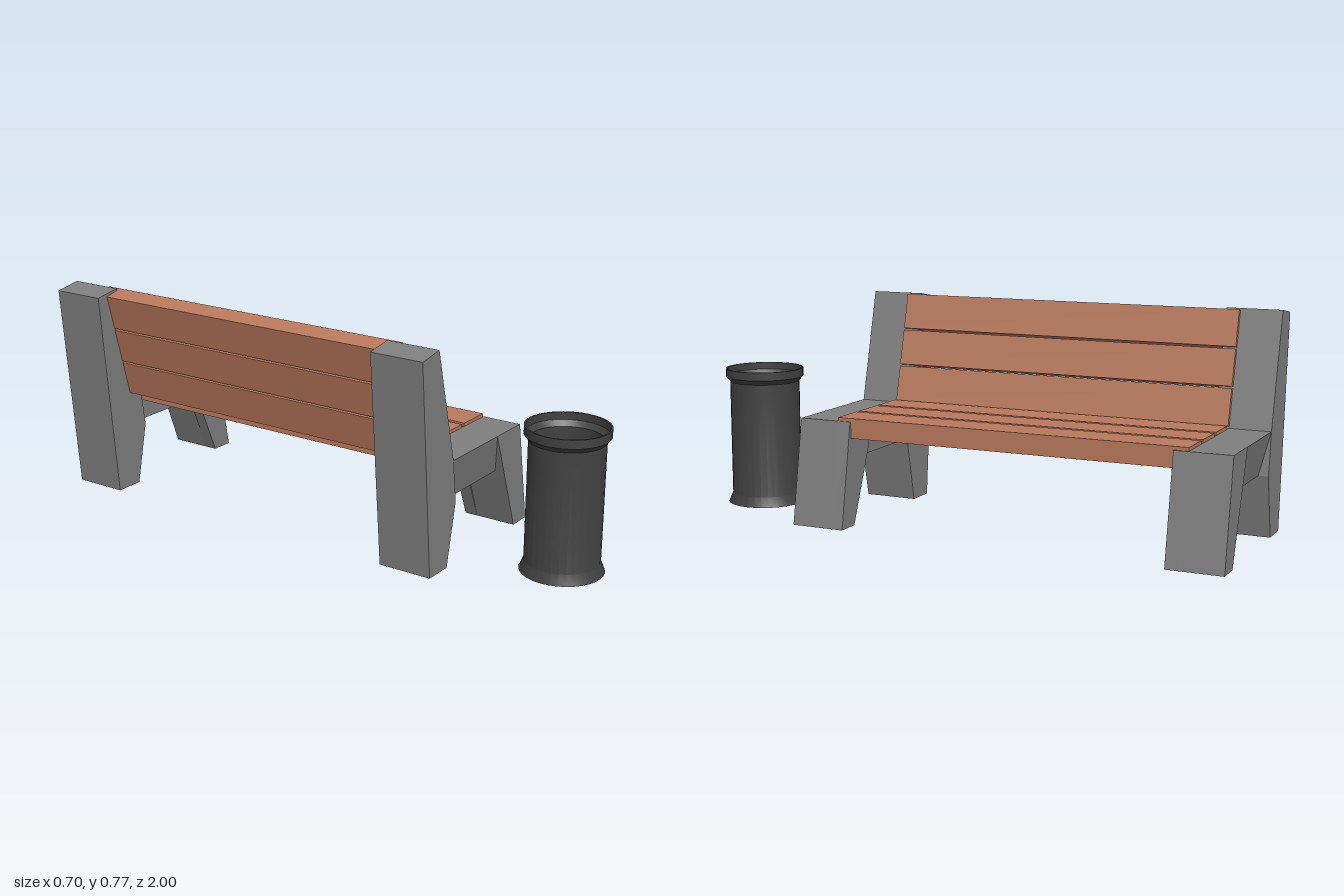
import * as THREE from 'three';
import { toCreasedNormals } from 'three/addons/utils/BufferGeometryUtils.js';

const material = (name, color) => new THREE.MeshStandardMaterial({ name, color });

// Extrude a polygon along z from z0 to z1
function prism(points, z0, z1) {
  const shape = new THREE.Shape(points.map(([x, y]) => new THREE.Vector2(x, y)));
  const geometry = new THREE.ExtrudeGeometry(shape, { depth: Math.abs(z1 - z0), bevelEnabled: false });
  return geometry.translate(0, 0, Math.min(z0, z1));
}

export function createModel() {
  const concrete = material('concrete', 0x7f7f7f);
  const wood = material('wood', 0xb9795d);
  const iron = material('darkMetal', 0x414141);
  const model = new THREE.Group();
  model.name = 'benchAndBin';

  const add = (parent, name, geometry, mat) => {
    const mesh = new THREE.Mesh(geometry, mat);
    mesh.name = name;
    parent.add(mesh);
    return mesh;
  };

  // Bench, symmetric about its own middle
  const bench = new THREE.Group();
  bench.name = 'bench';
  bench.position.z = -0.225;
  model.add(bench);
  const outer = 0.775, slatEnd = 0.627, inner = 0.58;

  for (const side of [1, -1]) {
    const end = new THREE.Group();
    end.name = side > 0 ? 'nearSupport' : 'farSupport';
    bench.add(end);

    // Rear upright carrying the backrest
    add(end, 'upright', prism([
      [-0.352, 0.753], [-0.256, 0.769], [-0.155, 0.373],
      [-0.135, 0.225], [-0.183, 0.005], [-0.288, 0.005],
    ], side * inner, side * outer), concrete);

    // Front leg, with a narrower strip under the slat ends
    add(end, 'frontLeg', prism([
      [0.13, 0.373], [0.285, 0.373], [0.35, 0.005], [0.265, 0.005],
    ], side * slatEnd, side * outer), concrete);
    add(end, 'frontLegInner', prism([
      [0.156, 0.373], [0.285, 0.373], [0.35, 0.005], [0.265, 0.005], [0.156, 0.27],
    ], side * inner, side * slatEnd), concrete);

    // Crossbeam whose outer face leans inward toward the bottom
    const beam = prism([
      [-side * slatEnd, 0.373], [-side * outer, 0.373],
      [-side * (outer - 0.035), 0.225], [-side * slatEnd, 0.225],
    ], -0.17, 0.18).rotateY(Math.PI / 2);
    add(end, 'crossbeam', beam, concrete);
  }

  // Seat and backrest slats
  const width = 0.127, thick = 0.07, length = slatEnd * 2 + 0.006;
  const top = new THREE.Vector2(-0.24, 0.766);
  const along = new THREE.Vector2(0.097, -0.383).normalize();
  const back = new THREE.Vector2(along.y, -along.x);
  for (let i = 0; i < 3; i++) {
    const seat = add(bench, 'seatSlat', new THREE.BoxGeometry(width, thick, length), wood);
    seat.position.set(-0.069 + i * 0.143, 0.385 - thick / 2, 0);

    const rest = add(bench, 'backSlat', new THREE.BoxGeometry(thick, width, length), wood);
    const p = top.clone().addScaledVector(along, width / 2 + i * 0.134).addScaledVector(back, thick / 2);
    rest.position.set(p.x, p.y, 0);
    rest.rotation.z = Math.atan2(along.x, -along.y);
  }

  // Open litter bin with flared foot and rim
  const profile = [
    [0, 0], [0.142, 0], [0.127, 0.036], [0.127, 0.452], [0.142, 0.47], [0.142, 0.5],
    [0.136, 0.5], [0.136, 0.474], [0.121, 0.455], [0.121, 0.03], [0, 0.03],
  ].map(([r, y]) => new THREE.Vector2(r, y));
  const bin = add(model, 'litterBin', toCreasedNormals(new THREE.LatheGeometry(profile, 32), 0.4), iron);
  bin.position.set(0.038, 0, 0.858);

  return model;
}
